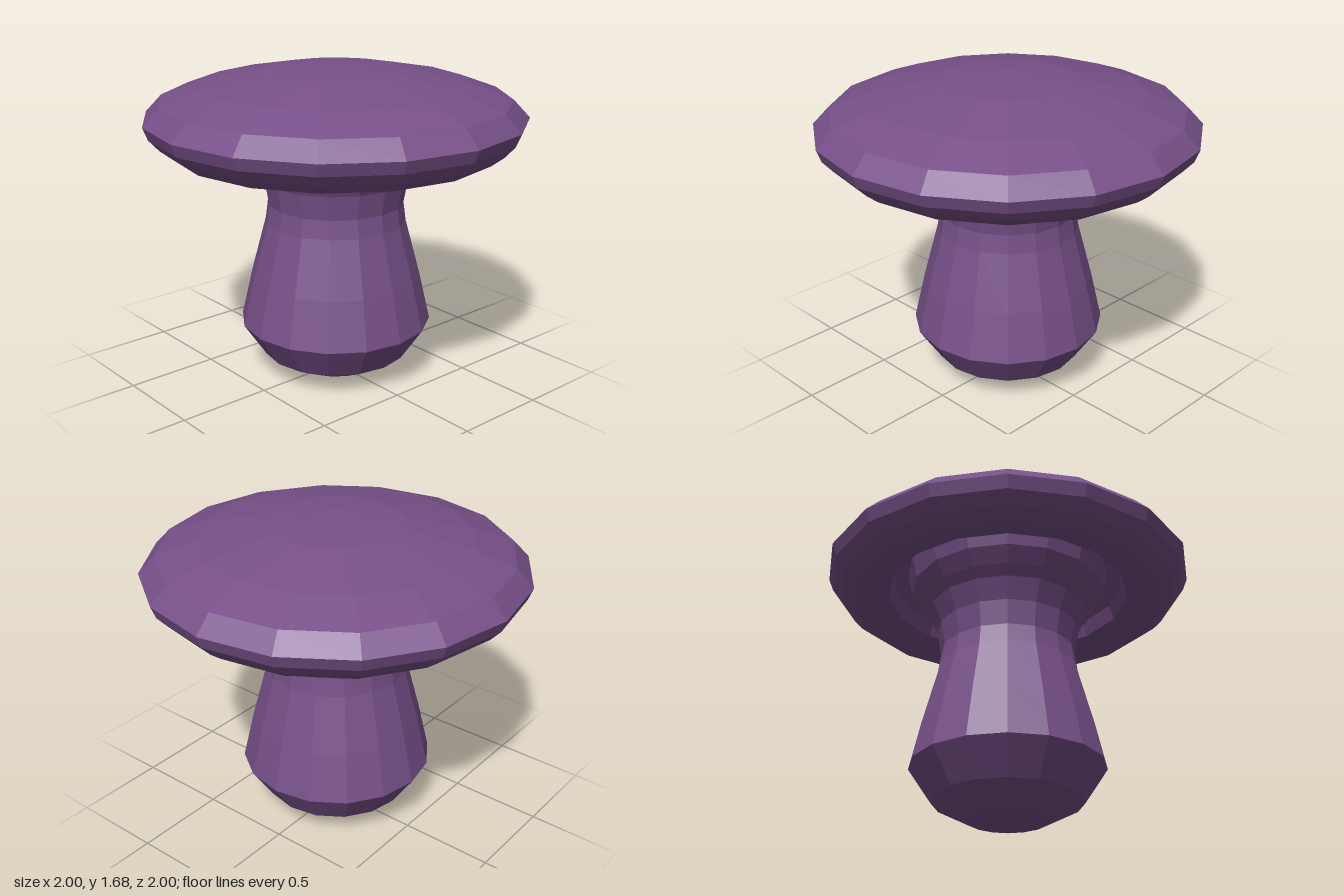
import * as THREE from 'three';

const SIDES = 16;

// Faceted solid of revolution; the profile runs bottom to top as [radius, height]
function turned(name, profile, material) {
  const points = profile.map(([r, y]) => new THREE.Vector2(r, y));
  const mesh = new THREE.Mesh(new THREE.LatheGeometry(points, SIDES), material);
  mesh.name = name;
  return mesh;
}

export function createModel() {
  const purple = new THREE.MeshStandardMaterial({ color: 0x775089, flatShading: true });
  purple.name = 'mushroom purple';

  const group = new THREE.Group();
  group.name = 'mushroom';

  // Stem: rounded foot, narrow waist, flaring into the hollow of the cap
  group.add(turned('stem', [
    [0, 0], [0.215, 0.025], [0.395, 0.12], [0.515, 0.3],
    [0.455, 0.56], [0.375, 0.86], [0.362, 0.96], [0.385, 1.09],
    [0.435, 1.2], [0.475, 1.25], [0.53, 1.33], [0.56, 1.44],
  ], purple));

  // Cap: recessed underside, sloping lip, rounded rim, shallow dome
  group.add(turned('cap', [
    [0, 1.44], [0.57, 1.44], [0.63, 1.39], [0.66, 1.31], [0.855, 1.25],
    [0.92, 1.3], [0.975, 1.36], [1, 1.425], [0.915, 1.515],
    [0.705, 1.593], [0.35, 1.663], [0.14, 1.675], [0, 1.676],
  ], purple));

  return group;
}
